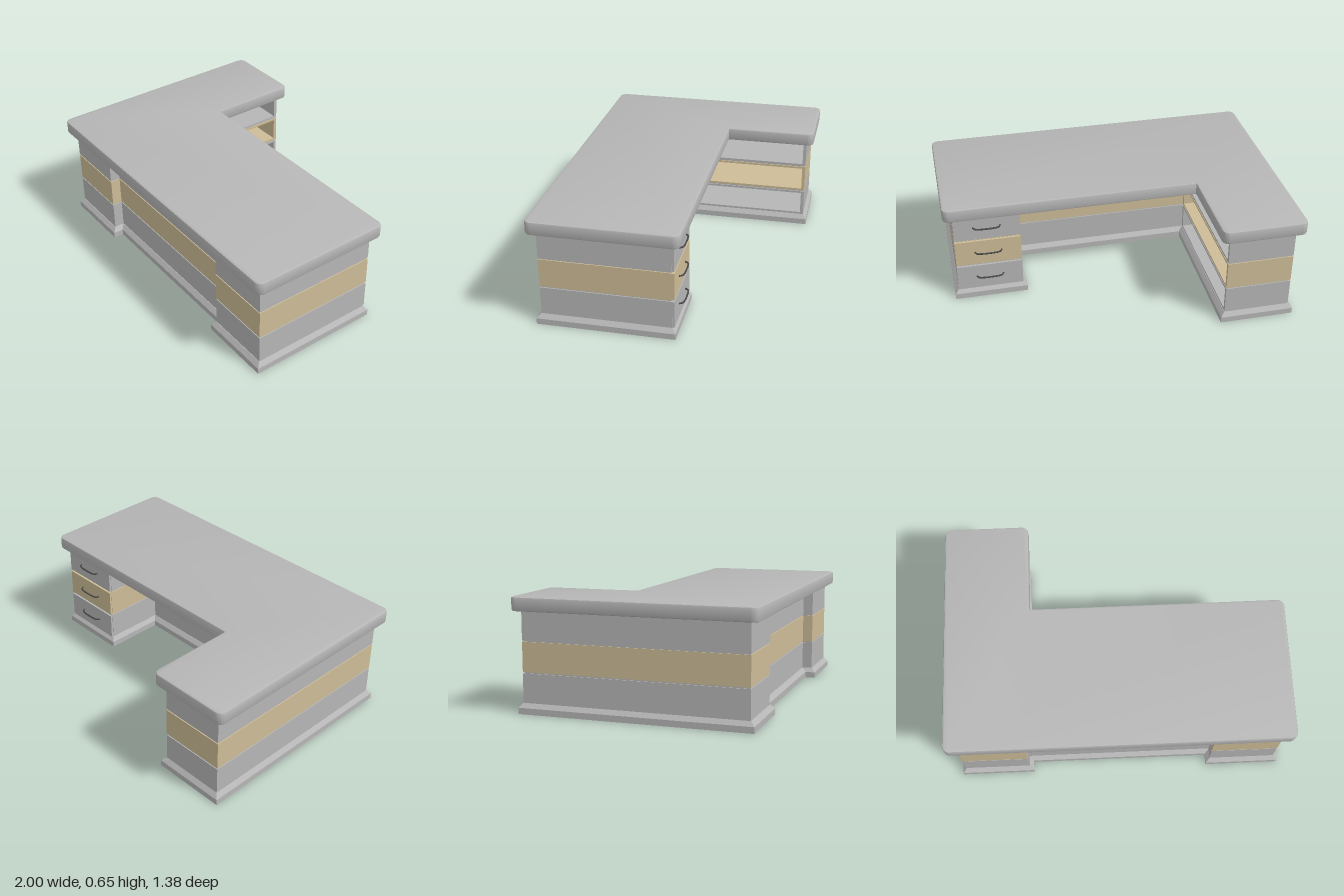
import * as THREE from 'three';
import { toCreasedNormals } from 'three/addons/utils/BufferGeometryUtils.js';

const grey = new THREE.MeshStandardMaterial({ name: 'grey', color: 0xb6b6b6 });
const beige = new THREE.MeshStandardMaterial({ name: 'beige', color: 0xcdbc97 });
const dark = new THREE.MeshStandardMaterial({ name: 'darkMetal', color: 0x4a4a4a });

// Three stacked bands of the carcass: bottom, top, material
const bands = [
  [0.06, 0.225, grey],
  [0.232, 0.4, beige],
  [0.407, 0.572, grey],
];

function add(parent, name, geometry, material) {
  const mesh = new THREE.Mesh(geometry, material);
  mesh.name = name;
  parent.add(mesh);
  return mesh;
}

// Box given by its limits
function boxBetween(x0, x1, y0, y1, z0, z1) {
  return new THREE.BoxGeometry(x1 - x0, y1 - y0, z1 - z0)
    .translate((x0 + x1) / 2, (y0 + y1) / 2, (z0 + z1) / 2);
}

// Plinth block: upright foot with a sloping upper edge
function plinthGeometry(x0, x1, z0, z1) {
  const box = boxless(x1 - x0, z1 - z0);
  return box.translate((x0 + x1) / 2, 0, (z0 + z1) / 2);
}
function boxless(w, d) {
  const g = new THREE.BoxGeometry(w, 2, d, 1, 2, 1).toNonIndexed();
  const p = g.attributes.position;
  for (let i = 0; i < p.count; i++) {
    const y = p.getY(i);
    if (y > 0.5) {
      p.setX(i, p.getX(i) - Math.sign(p.getX(i)) * 0.022);
      p.setZ(i, p.getZ(i) - Math.sign(p.getZ(i)) * 0.022);
    }
    p.setY(i, y > 0.5 ? 0.06 : y > -0.5 ? 0.035 : 0);
  }
  g.computeVertexNormals();
  return g;
}

// Recessed strips between the bands
function addGrooves(parent, x0, x1, z0, z1) {
  const i = 0.006;
  for (let k = 0; k < 2; k++) {
    add(parent, 'groove', boxBetween(x0 + i, x1 - i, bands[k][1], bands[k + 1][0], z0 + i, z1 - i), grey);
  }
}

function addBandedBlock(parent, x0, x1, z0, z1) {
  for (const [y0, y1, m] of bands) add(parent, 'band', boxBetween(x0, x1, y0, y1, z0, z1), m);
  addGrooves(parent, x0, x1, z0, z1);
}

// L-shaped worktop with rounded outer corners and softened edges
function worktopGeometry() {
  const r = 0.04, b = 0.01, P = Math.PI;
  const s = new THREE.Shape();
  s.moveTo(-1 + r, -0.69);
  s.absarc(1 - r, -0.69 + r, r, -P / 2, 0);
  s.absarc(1 - r, 0.155 - r, r, 0, P / 2);
  s.lineTo(-0.5, 0.155);
  s.absarc(-0.5 - r, 0.695 - r, r, 0, P / 2);
  s.absarc(-1 + r, 0.695 - r, r, P / 2, P);
  s.absarc(-1 + r, -0.69 + r, r, P, P * 1.5);
  const g = new THREE.ExtrudeGeometry(s, {
    depth: 0.078 - 2 * b, bevelEnabled: true, bevelSize: b, bevelThickness: b,
    bevelOffset: -b, bevelSegments: 2, curveSegments: 8,
  });
  g.rotateX(-P / 2).translate(0, 0.572 + b, 0);
  return toCreasedNormals(g, 0.5);
}

// Open compartment frame, facing +x
function shelfFrameGeometry(y0, y1, x0, x1) {
  const s = new THREE.Shape();
  s.moveTo(-0.64, y0).lineTo(0.65, y0).lineTo(0.65, y1).lineTo(-0.64, y1).closePath();
  const h = new THREE.Path(), m = 0.013;
  h.moveTo(-0.25, y0 + m).lineTo(-0.25, y1 - m).lineTo(0.63, y1 - m).lineTo(0.63, y0 + m).closePath();
  s.holes.push(h);
  return new THREE.ExtrudeGeometry(s, { depth: x1 - x0, bevelEnabled: false })
    .rotateY(Math.PI / 2).translate(x0, 0, 0);
}

export function createModel() {
  const desk = new THREE.Group();
  desk.name = 'cornerDesk';
  add(desk, 'worktop', worktopGeometry(), grey);

  // Plinths under the two units and the panel between them
  const plinth = new THREE.Group();
  plinth.name = 'plinth';
  desk.add(plinth);
  add(plinth, 'drawerPlinth', plinthGeometry(0.53, 0.967, -0.122, 0.665), grey);
  add(plinth, 'shelfPlinth', plinthGeometry(-0.967, -0.53, -0.672, 0.665), grey);
  add(plinth, 'panelPlinth', plinthGeometry(-0.62, 0.62, 0.245, 0.605), grey);

  // Recessed front panel
  const panel = new THREE.Group();
  panel.name = 'frontPanel';
  desk.add(panel);
  addBandedBlock(panel, -0.58, 0.58, 0.27, 0.58);

  // Drawer pedestal, opening to the back
  const pedestal = new THREE.Group();
  pedestal.name = 'drawerPedestal';
  desk.add(pedestal);
  addBandedBlock(pedestal, 0.552, 0.945, -0.1, 0.64);
  const handlePath = new THREE.CatmullRomCurve3([
    [-0.08, 0, 0], [-0.07, 0, -0.018], [-0.05, 0, -0.025],
    [0.05, 0, -0.025], [0.07, 0, -0.018], [0.08, 0, 0],
  ].map((p) => new THREE.Vector3(...p)));
  for (const [y0, y1, m] of bands) {
    add(pedestal, 'drawerFront', boxBetween(0.554, 0.943, y0 + 0.003, y1 - 0.003, -0.113, -0.098), m);
    const handle = add(pedestal, 'drawerHandle', new THREE.TubeGeometry(handlePath, 24, 0.005, 8), dark);
    handle.position.set(0.75, (y0 + y1) / 2 + 0.004, -0.112);
  }

  // Return unit with open shelves facing the seat
  const shelves = new THREE.Group();
  shelves.name = 'shelfUnit';
  desk.add(shelves);
  for (const [y0, y1, m] of bands) {
    add(shelves, 'shelfFrame', shelfFrameGeometry(y0, y1, -0.925, -0.555), m);
    add(shelves, 'shelfBack', boxBetween(-0.945, -0.925, y0, y1, -0.65, 0.64), m);
  }
  addGrooves(shelves, -0.945, -0.555, -0.65, 0.64);
  return desk;
}
